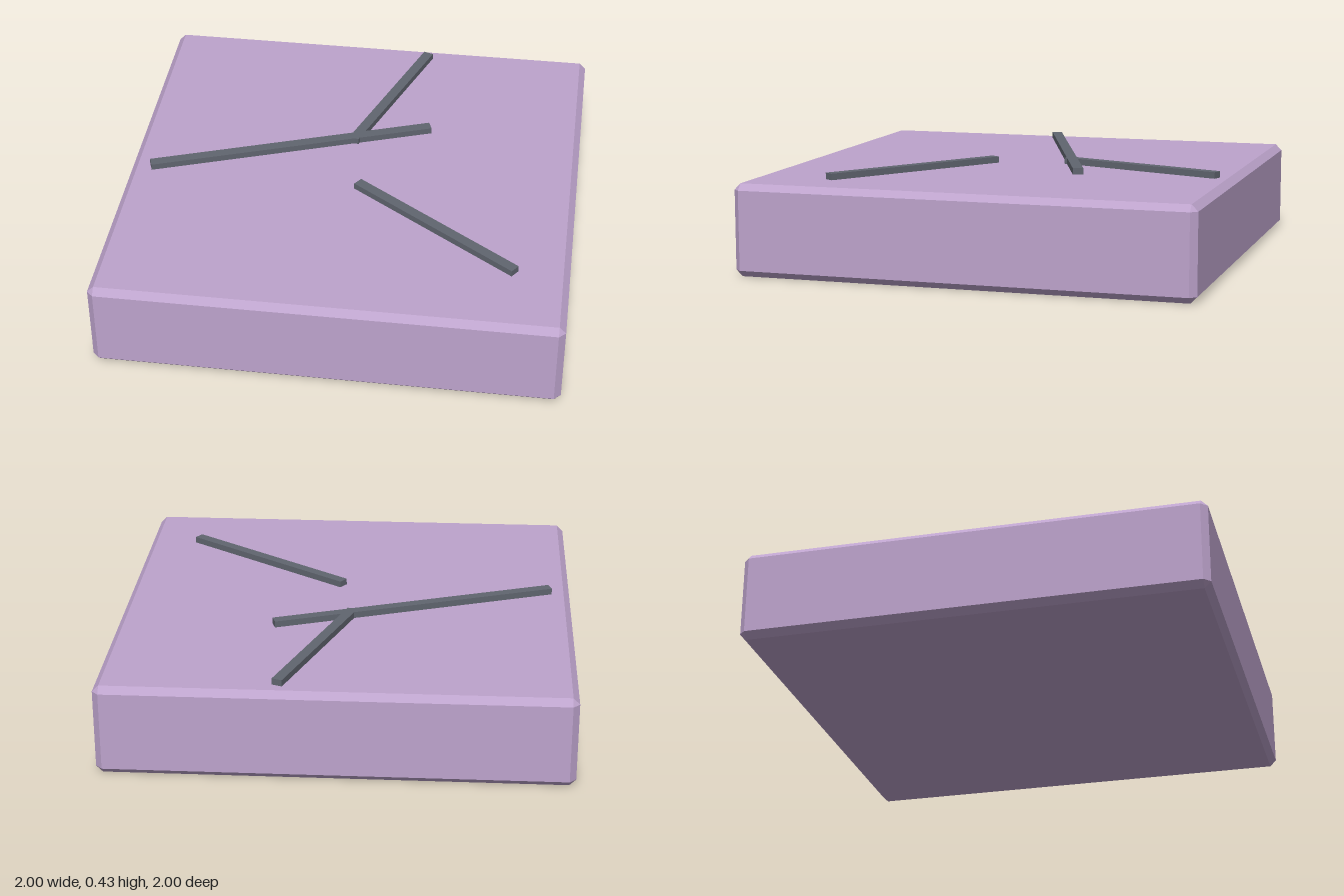
import * as THREE from 'three';
import { ConvexGeometry } from 'three/addons/geometries/ConvexGeometry.js';

// Box with flat bevels along every edge and a small triangle at every corner
function chamferedBox(w, h, d, c) {
  const points = [];
  for (const sx of [-1, 1]) for (const sy of [-1, 1]) for (const sz of [-1, 1]) {
    const x = w / 2, y = h / 2, z = d / 2;
    points.push(
      new THREE.Vector3(sx * x, sy * (y - c), sz * (z - c)),
      new THREE.Vector3(sx * (x - c), sy * y, sz * (z - c)),
      new THREE.Vector3(sx * (x - c), sy * (y - c), sz * z)
    );
  }
  return new ConvexGeometry(points);
}

export function createModel() {
  const stone = new THREE.MeshStandardMaterial({ color: 0xbda3cc });
  stone.name = 'lilac stone';
  const dark = new THREE.MeshStandardMaterial({ color: 0x60656f });
  dark.name = 'dark grey';

  const model = new THREE.Group();
  model.name = 'crackedTile';

  // Tile body
  const slab = new THREE.Mesh(chamferedBox(2, 0.4, 2, 0.028), stone);
  slab.name = 'slab';
  slab.position.y = 0.2;
  model.add(slab);

  // Straight crack bars, sunk slightly into the top: [x1, z1, x2, z2]
  const cracks = {
    mainCrack: [-0.91, 0.12, 0.31, -0.325],
    branchCrack: [-0.027, -0.182, 0.24, -0.927],
    separateCrack: [0.033, 0.14, 0.768, 0.655],
  };
  const top = 0.428, depth = 0.05, width = 0.046;
  for (const [name, [x1, z1, x2, z2]] of Object.entries(cracks)) {
    const length = Math.hypot(x2 - x1, z2 - z1);
    const bar = new THREE.Mesh(new THREE.BoxGeometry(length, depth, width), dark);
    bar.name = name;
    bar.position.set((x1 + x2) / 2, top - depth / 2, (z1 + z2) / 2);
    bar.rotation.y = -Math.atan2(z2 - z1, x2 - x1);
    model.add(bar);
  }
  return model;
}
